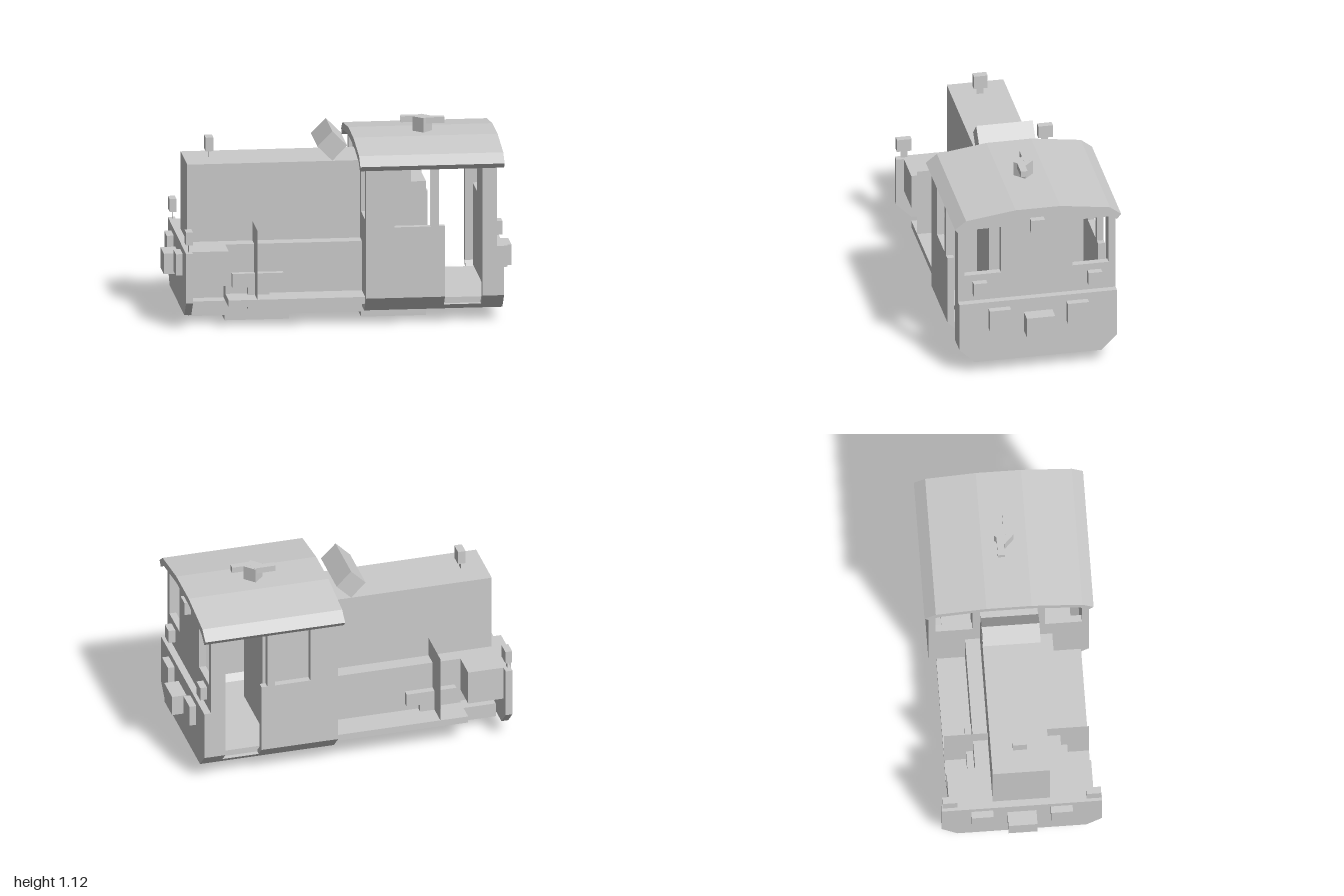
import * as THREE from 'three';

export function createModel() {
  const loco = new THREE.Group();
  const mat = new THREE.MeshStandardMaterial({ color: 0xcccccc, flatShading: true, side: THREE.DoubleSide });

  function add(name, geometry, parent = loco) {
    const mesh = new THREE.Mesh(geometry, mat);
    mesh.name = name;
    parent.add(mesh);
    return mesh;
  }
  // Box given by its limits on each axis
  function box(name, x0, x1, y0, y1, z0, z1) {
    const g = new THREE.BoxGeometry(x1 - x0, y1 - y0, z1 - z0);
    g.translate((x0 + x1) / 2, (y0 + y1) / 2, (z0 + z1) / 2);
    return add(name, g);
  }
  // The same box on both sides of the centre line
  function pair(name, x0, x1, y0, y1, z0, z1) {
    box(name, x0, x1, y0, y1, z0, z1);
    box(name, x0, x1, y0, y1, -z1, -z0);
  }
  // Symmetric cross-section from half outline [z, y], extruded along x
  function section(name, half, x0, x1, holes = []) {
    const pts = half.concat(half.map(([z, y]) => [-z, y]).reverse());
    const shape = new THREE.Shape(pts.map(([z, y]) => new THREE.Vector2(z, y)));
    for (const [a, b, c, d] of holes) {
      shape.holes.push(new THREE.Path([[a, c], [a, d], [b, d], [b, c]].map((p) => new THREE.Vector2(...p))));
    }
    const g = new THREE.ExtrudeGeometry(shape, { depth: x1 - x0, bevelEnabled: false });
    g.rotateY(Math.PI / 2);
    g.translate(x0, 0, 0);
    return add(name, g);
  }
  // Thin upright sheet across the loco
  function sheet(name, x, y0, y1, z0, z1) {
    const g = new THREE.PlaneGeometry(z1 - z0, y1 - y0);
    g.rotateY(Math.PI / 2);
    g.translate(x, (y0 + y1) / 2, (z0 + z1) / 2);
    add(name, g);
  }

  // Underframe and wheel blocks
  box('underframe', -0.875, 0.495, 0.045, 0.13, -0.25, 0.25);
  box('wheelBlock', -0.665, -0.295, 0.005, 0.045, -0.21, 0.21);
  box('wheelBlock', 0.12, 0.495, 0.005, 0.045, -0.21, 0.21);
  box('runningBoard', -0.665, 0.12, 0.13, 0.17, -0.415, 0.415);

  // Hood with its lower side casing and the corner boxes
  box('hood', -0.875, 0.12, 0.13, 0.915, -0.165, 0.165);
  box('sideCasing', -0.665, 0.12, 0.17, 0.46, -0.25, 0.25);
  pair('cornerBox', -0.875, -0.665, 0.255, 0.46, 0.165, 0.415);
  pair('equipmentBox', -0.63, -0.335, 0.215, 0.295, 0.25, 0.29);
  pair('equipmentStem', -0.54, -0.415, 0.085, 0.215, 0.25, 0.29);
  for (const s of [-1, 1]) {
    sheet('sideScreen', -0.5, 0.17, 0.575, Math.min(s * 0.165, s * 0.415), Math.max(s * 0.165, s * 0.415));
    sheet('lampBracket', -0.895, 0.46, 0.51, s * 0.41 - 0.02, s * 0.41 + 0.02);
  }

  // Hood lamp and the tilted box in front of the cab
  box('hoodLamp', -0.755, -0.71, 0.96, 1.04, -0.04, 0.04);
  sheet('hoodLampBracket', -0.732, 0.915, 0.96, -0.02, 0.02);
  const tilted = add('tiltedBox', new THREE.BoxGeometry(0.122, 0.122, 0.33));
  tilted.position.set(-0.04, 1.002, 0);
  tilted.rotation.z = Math.PI / 4;

  // End plates, buffers, couplers
  const endHalf = [[0.37, 0.08], [0.46, 0.17], [0.46, 0.46]];
  for (const s of [-1, 1]) {
    const span = (a, b) => (s > 0 ? [a, b] : [-b, -a]);
    section('endPlate', endHalf, ...span(0.875, 0.915));
    pair('buffer', ...span(0.915, 0.955), 0.295, 0.42, 0.165, 0.29);
    box('coupler', ...span(0.915, 1), 0.255, 0.375, -0.083, 0.083);
  }
  pair('frontLamp', -0.915, -0.875, 0.51, 0.585, 0.37, 0.455);
  pair('rearLamp', 0.875, 0.915, 0.505, 0.585, 0.295, 0.375);
  box('upperRearLamp', 0.875, 0.915, 0.88, 0.96, -0.04, 0.04);

  // Cab end walls with two windows each
  const wallHalf = [[0.37, 0.08], [0.46, 0.17], [0.46, 0.925], [0.4, 0.962], [0.13, 1.002]];
  const windows = [[-0.42, -0.208, 0.625, 0.919], [0.208, 0.42, 0.625, 0.919]];
  section('cabFrontWall', wallHalf, 0.12, 0.16, windows);
  section('cabRearWall', wallHalf, 0.835, 0.875, windows);

  // Cab sides, with a window and an open doorway
  pair('cabSideFront', 0.12, 0.285, 0.17, 0.925, 0.42, 0.46);
  pair('cabSidePanel', 0.285, 0.575, 0.17, 0.585, 0.42, 0.46);
  pair('windowPost', 0.495, 0.54, 0.585, 0.925, 0.42, 0.46);
  pair('doorPost', 0.79, 0.875, 0.17, 0.925, 0.42, 0.46);

  // Lower skirt leaning inwards
  for (const s of [-1, 1]) {
    for (const [x0, x1, top] of [[0.12, 0.575, 0.17], [0.575, 0.79, 0.11], [0.79, 0.875, 0.17]]) {
      const skirt = box('cabSkirt', x0, x1, 0.08, top, s > 0 ? 0.42 : -0.46, s > 0 ? 0.46 : -0.42);
      const p = skirt.geometry.attributes.position;
      for (let i = 0; i < p.count; i++) p.setZ(i, p.getZ(i) - s * (0.17 - p.getY(i)));
      skirt.geometry.computeVertexNormals();
    }
  }
  box('cabFloor', 0.12, 0.915, 0.08, 0.145, -0.37, 0.37);

  // Control desk inside the cab
  box('controlDesk', 0.16, 0.495, 0.145, 0.79, -0.2, 0.2);
  box('controlPanel', 0.16, 0.41, 0.79, 0.88, -0.2, 0.2);

  // Faceted roof
  section('roof', [[0.13, 1], [0.4, 0.96], [0.46, 0.92], [0.485, 0.95], [0.42, 1], [0.13, 1.04]].reverse()
    .reverse(), 0.085, 0.915);

  // Roof horn
  const hornBase = add('hornBase', new THREE.BoxGeometry(0.08, 0.085, 0.08));
  hornBase.position.set(0.497, 1.082, 0);
  hornBase.rotation.y = Math.PI / 4;
  box('horn', 0.375, 0.5, 1.09, 1.125, -0.043, -0.003);
  box('horn', 0.5, 0.62, 1.09, 1.125, 0, 0.04);

  return loco;
}
